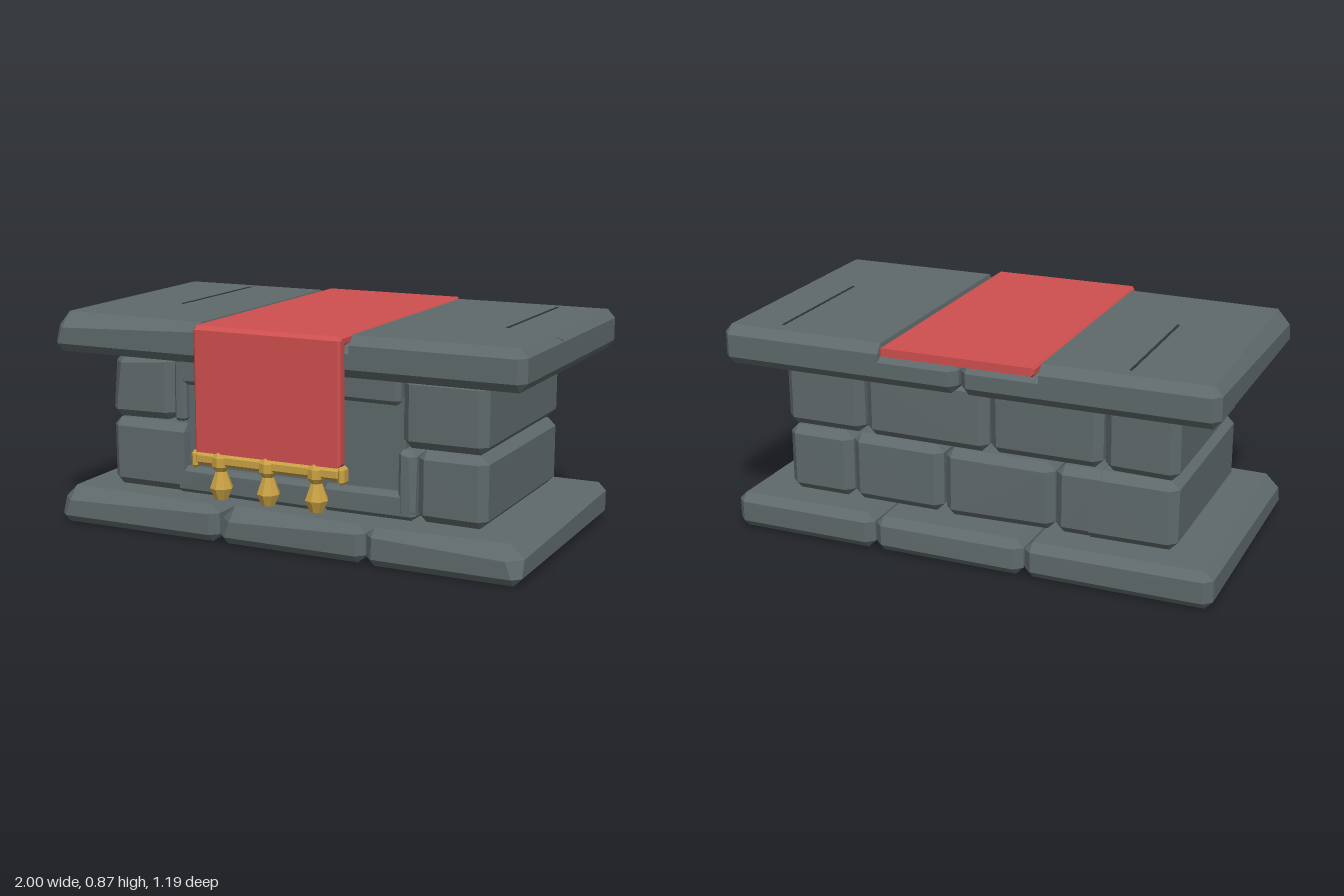
import * as THREE from 'three';
import { ConvexGeometry } from 'three/addons/geometries/ConvexGeometry.js';

const mat = (name, color) => {
  const m = new THREE.MeshStandardMaterial({ color });
  m.name = name;
  m.flatShading = true;
  return m;
};

let seed = 7;
const rand = () => (seed = (seed * 16807) % 2147483647) / 2147483647;

// Chamfered block between two corners; opts: c chamfer, left/right end chamfers,
// front chamfer, wear (uneven corners) and chip (signs of one broken corner)
function blockGeometry([x0, x1], [y0, y1], [z0, z1], opts = {}) {
  const { c = 0.032, left = c, right = c, front = c, wear = 0.006, chip = '' } = opts;
  const pts = [];
  for (const sx of [-1, 1]) for (const sy of [-1, 1]) for (const sz of [-1, 1]) {
    const k = chip === `${sx},${sy},${sz}` ? 1.7 : 1;
    const cx = (sx < 0 ? left : right) * k, cy = c * k, cz = (sz > 0 ? front : c) * k;
    const x = sx < 0 ? x0 : x1;
    const y = (sy < 0 ? y0 : y1) - sy * wear * rand();
    const z = (sz < 0 ? z0 : z1) - sz * wear * rand();
    pts.push(
      new THREE.Vector3(x, y - sy * cy, z - sz * cz),
      new THREE.Vector3(x - sx * cx, y, z - sz * cz),
      new THREE.Vector3(x - sx * cx, y - sy * cy, z));
  }
  return new ConvexGeometry(pts);
}

export function createModel() {
  const model = new THREE.Group();
  model.name = 'stoneAltar';
  const stone = mat('stone', 0x5f696b);
  const crevice = mat('crevice', 0x2f3537);
  const red = mat('redCloth', 0xcf4f4f);
  const gold = mat('gold', 0xc9a144);

  const add = (name, geometry, material, x = 0, y = 0, z = 0) => {
    const mesh = new THREE.Mesh(geometry, material);
    mesh.name = name;
    mesh.position.set(x, y, z);
    model.add(mesh);
    return mesh;
  };
  const block = (name, x, y, z, opts) => add(name, blockGeometry(x, y, z, opts), stone);

  // Base slabs
  const baseY = [0, 0.155], baseZ = [-0.555, 0.525];
  block('baseSlab', [-0.995, -0.255], baseY, baseZ, { chip: '-1,1,1' });
  block('baseSlab', [-0.25, 0.375], baseY, baseZ, { chip: '-1,1,1' });
  block('baseSlab', [0.38, 0.995], baseY, baseZ, { chip: '1,1,1' });

  // Lower course: full blocks at the ends, cut back in the middle for the niche
  const lowY = [0.15, 0.435], lowZ = [-0.432, 0.387];
  const nicheZ = [-0.432, 0.34], rimZ = [0.25, 0.387];
  block('lowerBlock', [-0.82, -0.47], lowY, lowZ, { right: 0.005 });
  block('lowerBlock', [0.53, 0.81], lowY, lowZ);
  block('lowerBlock', [-0.52, -0.335], lowY, nicheZ, { left: 0, front: 0 });
  block('lowerBlock', [-0.33, 0.125], lowY, nicheZ);
  block('lowerBlock', [0.135, 0.525], lowY, nicheZ);
  const sillY = [0.15, 0.265], sillZ = [0.25, 0.402];
  block('nicheSill', [-0.50, -0.335], sillY, rimZ, { c: 0.018, left: 0 });
  block('nicheSill', [-0.325, 0.125], sillY, sillZ, { c: 0.018 });
  block('nicheSill', [0.135, 0.525], sillY, rimZ, { c: 0.018 });
  block('nicheSide', [0.455, 0.525], [0.17, 0.43], rimZ, { c: 0.015, chip: '1,1,1' });

  // Upper course
  const upY = [0.435, 0.715], upZ = [-0.438, 0.39];
  block('upperBlock', [-0.82, -0.53], upY, upZ, { chip: '-1,1,1' });
  block('upperBlock', [0.47, 0.81], upY, upZ);
  block('upperBlock', [-0.52, -0.065], upY, nicheZ);
  block('upperBlock', [-0.06, 0.46], upY, nicheZ);
  block('nicheLintel', [-0.52, -0.065], [0.59, 0.71], rimZ, { c: 0.018 });
  block('nicheLintel', [-0.06, 0.46], [0.59, 0.71], rimZ, { c: 0.018 });
  block('nicheSide', [-0.52, -0.468], [0.44, 0.69], rimZ, { c: 0.012 });

  // Niche back and its round emblem
  add('nichePanel', new THREE.BoxGeometry(0.96, 0.38, 0.06), stone, -0.005, 0.427, 0.32);
  add('emblem', new THREE.CylinderGeometry(0.045, 0.08, 0.05, 8), gold, 0, 0.43, 0.375)
    .rotation.x = Math.PI / 2;

  // Two table slabs meeting in the middle, with a shallow channel for the cloth
  for (const s of [-1, 1]) {
    const z = s < 0 ? [-0.567, 0.525] : [-0.575, 0.532];
    const span = (a, b) => (s < 0 ? [-b, -a] : [a, b]);
    const ends = (inner, outer) => (s < 0 ? { left: outer, right: inner } : { left: inner, right: outer });
    block('tableSlab', span(0.315, 1), [0.71, 0.87], z,
      { c: 0.035, wear: 0, ...ends(0.008, 0.03), chip: s < 0 ? '-1,1,1' : '' });
    block('tableSlabMiddle', span(0.004, 0.33), [0.71, 0.838], z, { c: 0.035, wear: 0, ...ends(0.03, 0) });
    // Long scratch on the top
    add('scratch', new THREE.BoxGeometry(0.01, 0.004, 0.58), crevice, s < 0 ? -0.645 : 0.775, 0.8705, -0.19);
  }

  // Small chips along the left end
  for (const [x, y, z] of [[0.982, 0.852, 0.12], [0.79, 0.692, 0.185], [0.792, 0.41, 0.27]]) {
    const chip = add('edgeChip', new THREE.CylinderGeometry(0.022, 0.022, 0.008, 3), stone, x, y, z);
    chip.rotation.z = -Math.PI / 4;
  }

  // Cloth: an L-shaped section (z, y) swept across the table
  const bevel = 0.01;
  const section = new THREE.Shape([
    [-0.585, 0.845], [-0.57, 0.84], [0.528, 0.84], [0.528, 0.39],
    [0.56, 0.39], [0.56, 0.85], [0.55, 0.86], [-0.585, 0.86],
  ].map(([z, y]) => new THREE.Vector2(-z, y)));
  const clothGeo = new THREE.ExtrudeGeometry(section, {
    depth: 0.6, bevelEnabled: true, bevelThickness: bevel, bevelSize: bevel, bevelSegments: 1,
  });
  clothGeo.rotateY(Math.PI / 2);
  add('cloth', clothGeo, red, -0.305, 0, 0);

  // Gold hem bar with end knobs
  const hem = (name, x, y, z) => add(name, blockGeometry(x, y, z, { c: 0.012, wear: 0 }), gold);
  hem('hemBar', [-0.315, 0.305], [0.33, 0.38], [0.52, 0.572]);
  hem('hemKnob', [-0.332, -0.305], [0.315, 0.385], [0.517, 0.575]);
  hem('hemKnob', [0.295, 0.322], [0.315, 0.385], [0.517, 0.575]);

  // Faceted tassels
  const profile = [[0, 0.2], [0.027, 0.2], [0.046, 0.245], [0.022, 0.31],
    [0.036, 0.33], [0.036, 0.365], [0.02, 0.39], [0, 0.39]].map(([r, y]) => new THREE.Vector2(r, y));
  for (const x of [-0.21, -0.005, 0.2]) {
    add('tassel', new THREE.LatheGeometry(profile, 8), gold, x, 0, 0.548);
  }
  return model;
}
